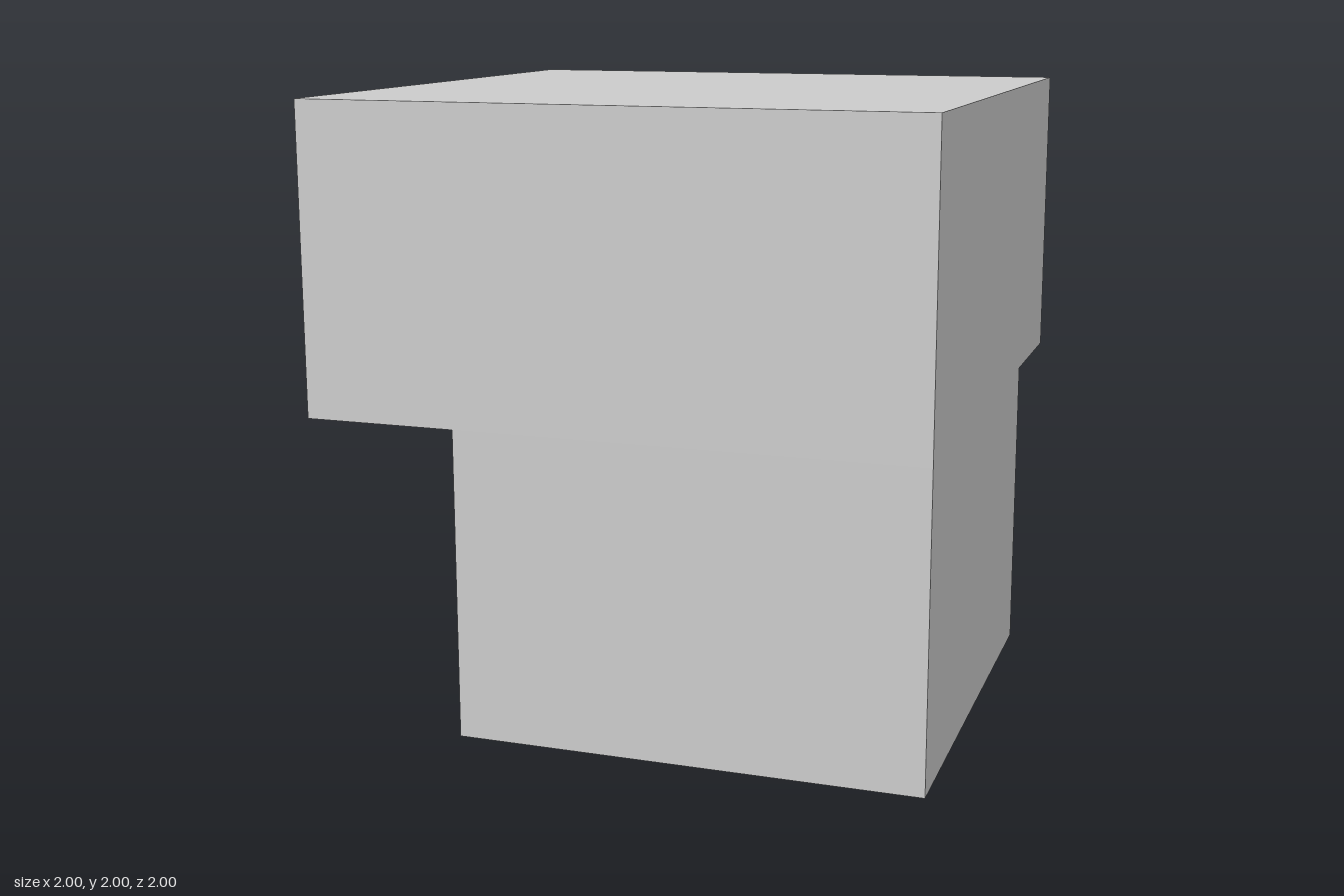
import * as THREE from 'three';

export function createModel() {
  const model = new THREE.Group();
  const material = new THREE.MeshStandardMaterial({ color: 0xcccccc, flatShading: true });

  // Adds a named box spanning two opposite corners
  const addBlock = (name, min, max) => {
    const size = max.map((v, i) => v - min[i]);
    const mesh = new THREE.Mesh(new THREE.BoxGeometry(...size), material);
    mesh.position.set(...max.map((v, i) => (v + min[i]) / 2));
    mesh.name = name;
    model.add(mesh);
  };

  // Wide slab overhanging at the back and at -x
  addBlock('upperBlock', [-1, 1, -1], [1, 2, 1]);
  // Narrower base, flush with the slab at the front and at +x
  addBlock('lowerBlock', [-0.5, 0, -0.5], [1, 1, 1]);

  return model;
}
